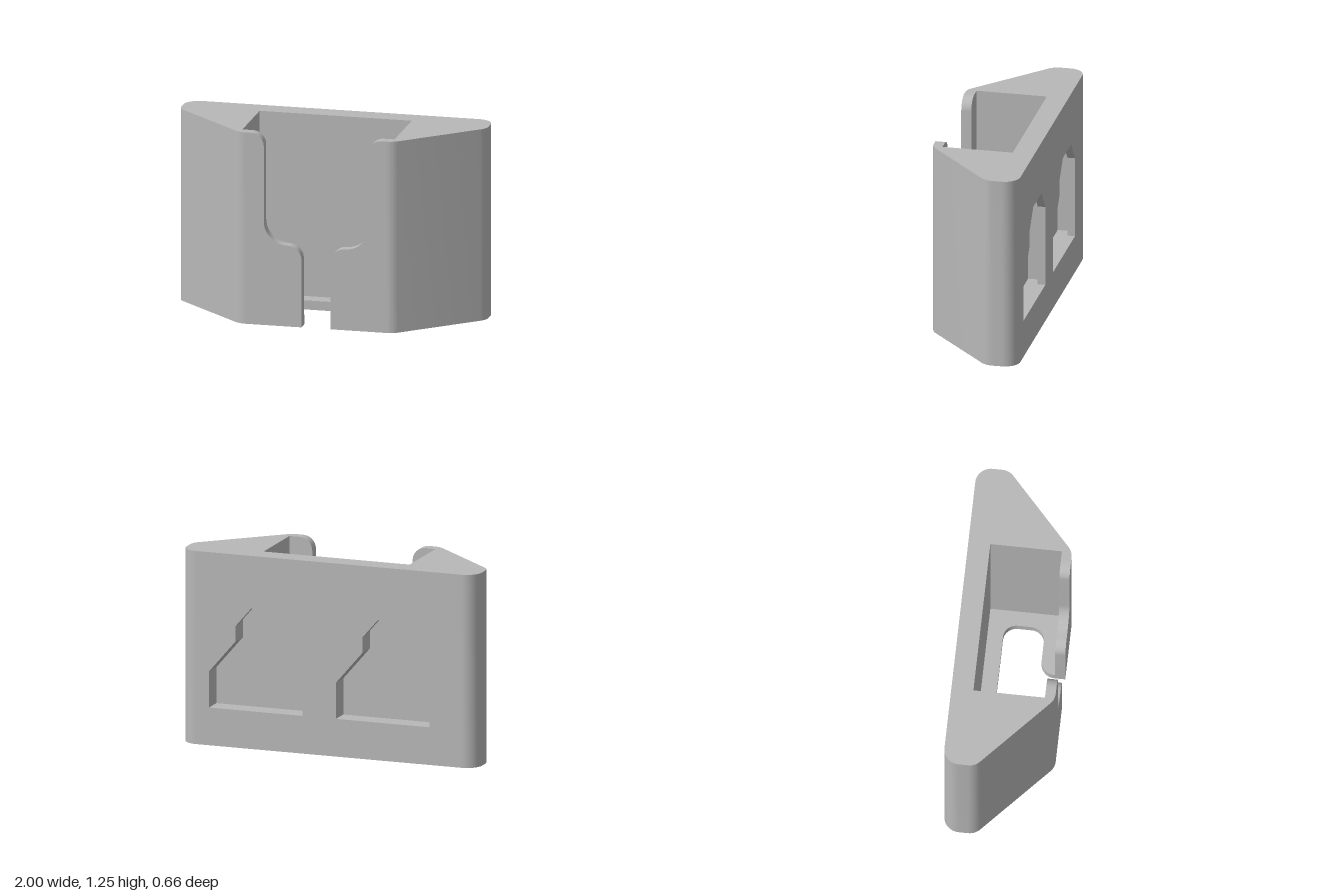
import * as THREE from 'three';
import { toCreasedNormals } from 'three/addons/utils/BufferGeometryUtils.js';

const H = 1.255;      // overall height
const FLOOR = 0.06;   // floor thickness

// Polygon from [x, y, radius] corners, with true circular fillets
function rounded(corners) {
  const out = [];
  const n = corners.length;
  corners.forEach(([x, y, r], i) => {
    const p = new THREE.Vector2(x, y);
    if (!r) { out.push(p); return; }
    const prev = corners[(i + n - 1) % n], next = corners[(i + 1) % n];
    const a = new THREE.Vector2(prev[0] - x, prev[1] - y).normalize();
    const b = new THREE.Vector2(next[0] - x, next[1] - y).normalize();
    const half = Math.acos(a.dot(b)) / 2;
    const c = a.clone().add(b).normalize().multiplyScalar(r / Math.sin(half)).add(p);
    const t = r / Math.tan(half);
    const start = a.multiplyScalar(t).add(p).sub(c);
    const end = b.multiplyScalar(t).add(p).sub(c);
    const a0 = start.angle();
    let sweep = end.angle() - a0;
    if (sweep > Math.PI) sweep -= 2 * Math.PI;
    if (sweep < -Math.PI) sweep += 2 * Math.PI;
    for (let k = 0; k <= 10; k++) {
      const w = a0 + sweep * k / 10;
      out.push(new THREE.Vector2(c.x + r * Math.cos(w), c.y + r * Math.sin(w)));
    }
  });
  return out;
}

function extrude(corners, depth, holes = []) {
  const shape = new THREE.Shape(rounded(corners));
  holes.forEach(h => shape.holes.push(new THREE.Path(rounded(h))));
  return new THREE.ExtrudeGeometry(shape, { depth, bevelEnabled: false });
}

// Elevation (x, y) extruded from z0 to z1
const elevation = (corners, z0, z1, holes) =>
  toCreasedNormals(extrude(corners, z1 - z0, holes).translate(0, 0, z0), 0.5);

// Plan (x, z) extruded from y0 to y1
const plan = (corners, y0, y1) =>
  toCreasedNormals(extrude(corners.map(([x, z, r]) => [x, -z, r]), y1 - y0)
    .rotateX(-Math.PI / 2).translate(0, y0, 0), 0.5);

// Socket recess outline; the undercut behind the lip widens it at the -x side and top
const socket = (x, side = 0, top = 0) => [
  [x, 0.245], [x, 0.48], [x - 0.18, 0.69], [x - 0.18, 0.79 + top],
  [x - 0.285, 0.912 + top], [x - 0.525 - side * 0.5, 0.912 + top],
  [x - 0.635 - side, 0.774 + top * 0.5], [x - 0.635 - side, 0.245],
];

export function createModel() {
  const group = new THREE.Group();
  const grey = new THREE.MeshStandardMaterial({ color: 0xb8b8b8 });
  grey.name = 'grey plastic';
  const add = (name, geometry) => {
    const mesh = new THREE.Mesh(geometry, grey);
    mesh.name = name;
    group.add(mesh);
  };

  // Back wall: outer lip layer, undercut layer and the thin cavity lining
  const sockets = [0.81, -0.05];
  const slab = [[-0.86, 0], [0.86, 0], [0.86, H], [-0.86, H]];
  add('backLip', elevation(slab, -0.33, -0.28, sockets.map(x => socket(x))));
  add('backUndercut', elevation(slab, -0.28, -0.2, sockets.map(x => socket(x, 0.08, 0.05))));
  add('cavityBack', elevation([[-0.495, 0], [0.495, 0], [0.495, H], [-0.495, H]], -0.2, -0.19));

  for (const s of [1, -1]) {
    const side = s > 0 ? 'left' : 'right';
    const mirror = pts => pts.map(([x, y, r]) => [s * x, y, r]);

    // Solid tapered wing
    add(side + 'Wing', plan(mirror([
      [0.86, -0.33], [1, -0.33, 0.1], [1, -0.125, 0.1], [0.5, 0.33, 0.1],
      [0.45, 0.33], [0.45, 0.265], [0.495, 0.265], [0.495, -0.2], [0.86, -0.2],
    ]), 0, H));

    // Front panel beside the stepped opening
    add(side + 'FrontPanel', elevation(mirror([
      [0.45, 0], [0.45, H], [0.34, H, 0.085], [0.34, 0.53, 0.15],
      [0.095, 0.53, 0.09], [0.095, 0],
    ]), 0.265, 0.33));
  }

  // Floor with its rounded cable hole and slot
  add('floor', plan([
    [-0.495, -0.19], [0.495, -0.19], [0.495, 0.265], [0.095, 0.265],
    [0.095, 0.17, 0.09], [0.4, 0.17, 0.085], [0.4, -0.09, 0.085],
    [-0.4, -0.09, 0.085], [-0.4, 0.17, 0.085], [-0.095, 0.17, 0.09],
    [-0.095, 0.265], [-0.495, 0.265],
  ], 0, FLOOR));

  return group;
}
